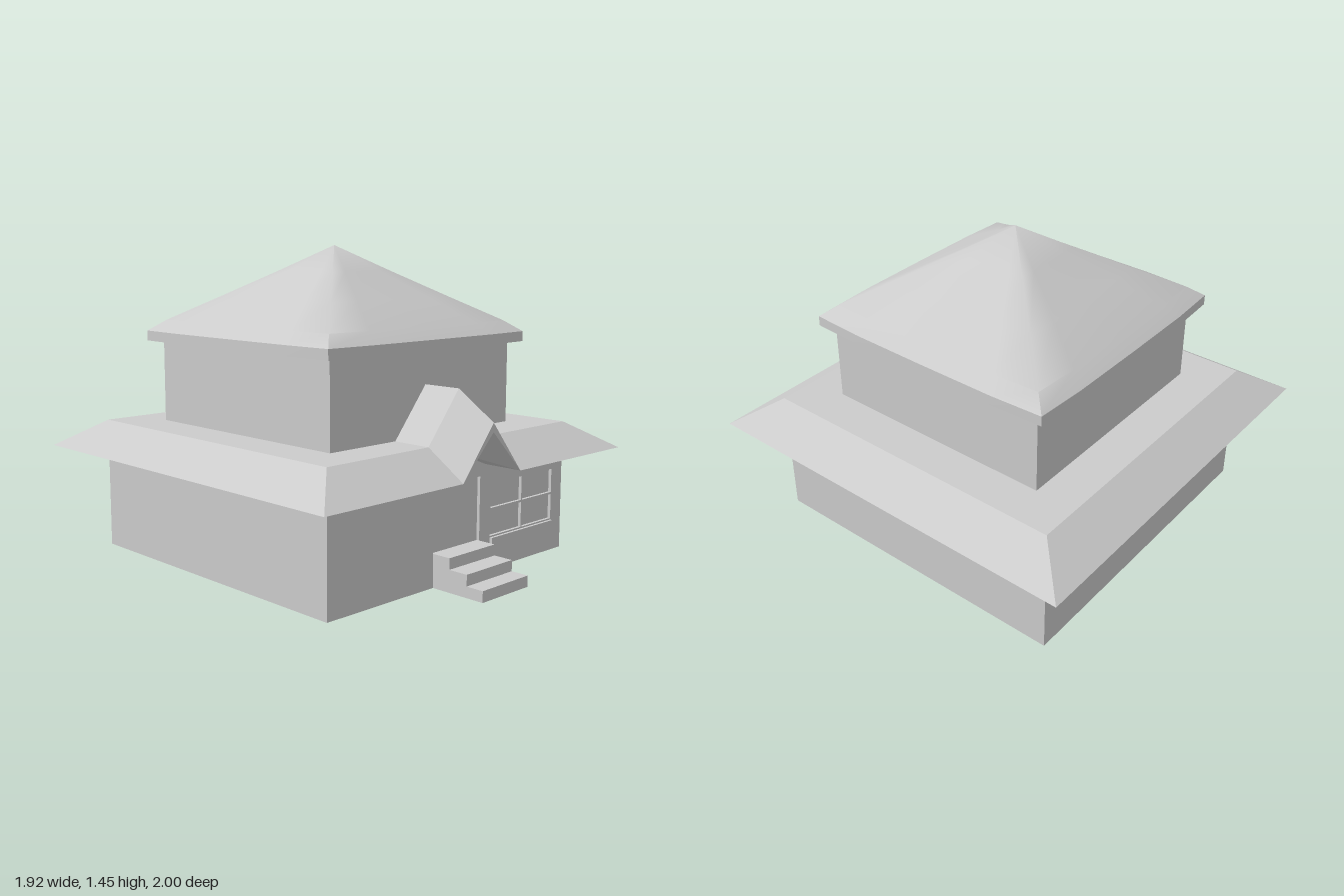
import * as THREE from 'three';
import { toCreasedNormals } from 'three/addons/utils/BufferGeometryUtils.js';

const CZ = -0.04; // centre line of the house in z
const material = new THREE.MeshStandardMaterial({ color: 0xcccccc, side: THREE.DoubleSide });

function add(group, name, geometry) {
  const mesh = new THREE.Mesh(geometry, material);
  mesh.name = name;
  group.add(mesh);
}

// Box given by its limits
function block(x0, x1, y0, y1, z0, z1) {
  return new THREE.BoxGeometry(x1 - x0, y1 - y0, z1 - z0)
    .translate((x0 + x1) / 2, (y0 + y1) / 2, (z0 + z1) / 2);
}

// Flat polygons for the +x half, repeated as a mirror image on -x
function mirroredFaces(faces) {
  const pos = [];
  const fan = (f) => {
    for (let i = 1; i < f.length - 1; i++) pos.push(...f[0], ...f[i], ...f[i + 1]);
  };
  for (const f of faces) {
    fan(f);
    fan(f.map(([x, y, z]) => [-x, y, z]).reverse());
  }
  const g = new THREE.BufferGeometry();
  g.setAttribute('position', new THREE.Float32BufferAttribute(pos, 3));
  g.computeVertexNormals();
  return g;
}

// Square rings with slightly bowed sides, joined from bottom to top
function bowedLoft(rings) {
  const steps = [-1, -0.6, 0, 0.6];
  const pos = [], index = [], n = steps.length * 4;
  for (const [r, y] of rings) {
    for (let side = 0; side < 4; side++) {
      for (const t of steps) {
        const out = r * (1 - 0.023 * t ** 4), along = r * t * (1 - 0.023 * Math.abs(t));
        const a = side * Math.PI / 2;
        pos.push(along * Math.cos(a) + out * Math.sin(a), y,
          CZ + out * Math.cos(a) - along * Math.sin(a));
      }
    }
  }
  for (let k = 0; k < rings.length - 1; k++) {
    for (let i = 0; i < n; i++) {
      const a = k * n + i, b = k * n + (i + 1) % n;
      if (rings[k][0] > 0) index.push(a, b, b + n);
      if (rings[k + 1][0] > 0) index.push(a, b + n, a + n);
      if (rings[k][0] === 0) index.push(); // centre point needs one triangle only
    }
  }
  const g = new THREE.BufferGeometry();
  g.setAttribute('position', new THREE.Float32BufferAttribute(pos, 3));
  g.setIndex(index);
  return toCreasedNormals(g, 0.8);
}

function rectangle(Type, x0, x1, y0, y1) {
  return new Type([[x0, y0], [x1, y0], [x1, y1], [x0, y1]].map((p) => new THREE.Vector2(...p)));
}

export function createModel() {
  const house = new THREE.Group();
  house.name = 'house';

  // Ground floor, with a front wall pierced by the door and window panes
  add(house, 'groundFloor', block(-0.77, 0.77, 0, 0.49, -0.81, 0.715));
  const wall = rectangle(THREE.Shape, -0.77, 0.77, 0, 0.49);
  wall.holes.push(rectangle(THREE.Path, -0.155, 0.155, 0.148, 0.44));
  for (const [x0, x1] of [[0.23, 0.457], [0.465, 0.69]]) {
    for (const [y0, y1] of [[0.155, 0.273], [0.283, 0.395]]) {
      wall.holes.push(rectangle(THREE.Path, x0, x1, y0, y1));
    }
  }
  add(house, 'frontWall',
    new THREE.ExtrudeGeometry(wall, { depth: 0.015, bevelEnabled: false }).translate(0, 0, 0.715));
  add(house, 'windowSill', block(0.23, 0.69, 0.103, 0.148, 0.72, 0.743));

  // Front steps
  [1, 0.915, 0.82].forEach((z, i) => {
    add(house, 'step' + (i + 1), block(-0.152, 0.152, i * 0.05, (i + 1) * 0.05, 0.725, z));
  });

  // Lower roof: slopes, soffits and deck, open at the front below the gable
  const e = 0.49, t = 0.615;
  add(house, 'lowerRoof', mirroredFaces([
    [[0.96, e, 0.92], [0.96, e, -1], [0.77, t, -0.81], [0.77, t, 0.73]],
    [[0.19, e, 0.92], [0.96, e, 0.92], [0.77, t, 0.73], [0.19, t, 0.73]],
    [[0.96, e, -1], [0, e, -1], [0, t, -0.81], [0.77, t, -0.81]],
    [[0.96, e, -1], [0.96, e, 0.92], [0.77, e, 0.73], [0.77, e, -0.81]],
    [[0.96, e, 0.92], [0.19, e, 0.92], [0.19, e, 0.73], [0.77, e, 0.73]],
    [[0, e, -1], [0.96, e, -1], [0.77, e, -0.81], [0, e, -0.81]],
    [[0, t, 0.73], [0.77, t, 0.73], [0.77, t, -0.81], [0, t, -0.81]],
  ]));

  // Porch gable: front slope, rear slope, front edge, ceiling and wall infill
  add(house, 'porchGable', mirroredFaces([
    [[0.19, e, 0.92], [0.19, t, 0.73], [0, 0.845, 0.73], [0, 0.72, 0.92]],
    [[0.19, t, 0.73], [0.19, t, 0.54], [0, 0.845, 0.54], [0, 0.845, 0.73]],
    [[0.19, e, 0.92], [0, 0.72, 0.92], [0, 0.68, 0.92]],
    [[0.19, e, 0.92], [0, 0.68, 0.92], [0, 0.565, 0.73], [0.19, e, 0.73]],
    [[0, e, 0.73], [0.19, e, 0.73], [0, 0.565, 0.73]],
  ]));

  // Upper floor and its bowed pyramid roof
  add(house, 'upperFloor', block(-0.575, 0.575, t, 1.0, -0.61, 0.54));
  add(house, 'upperRoof', bowedLoft([
    [0, 0.998], [0.643, 0.998], [0.643, 1.045], [0.575, 1.097],
    [0.39, 1.207], [0.19, 1.328], [0, 1.447],
  ]));
  return house;
}
